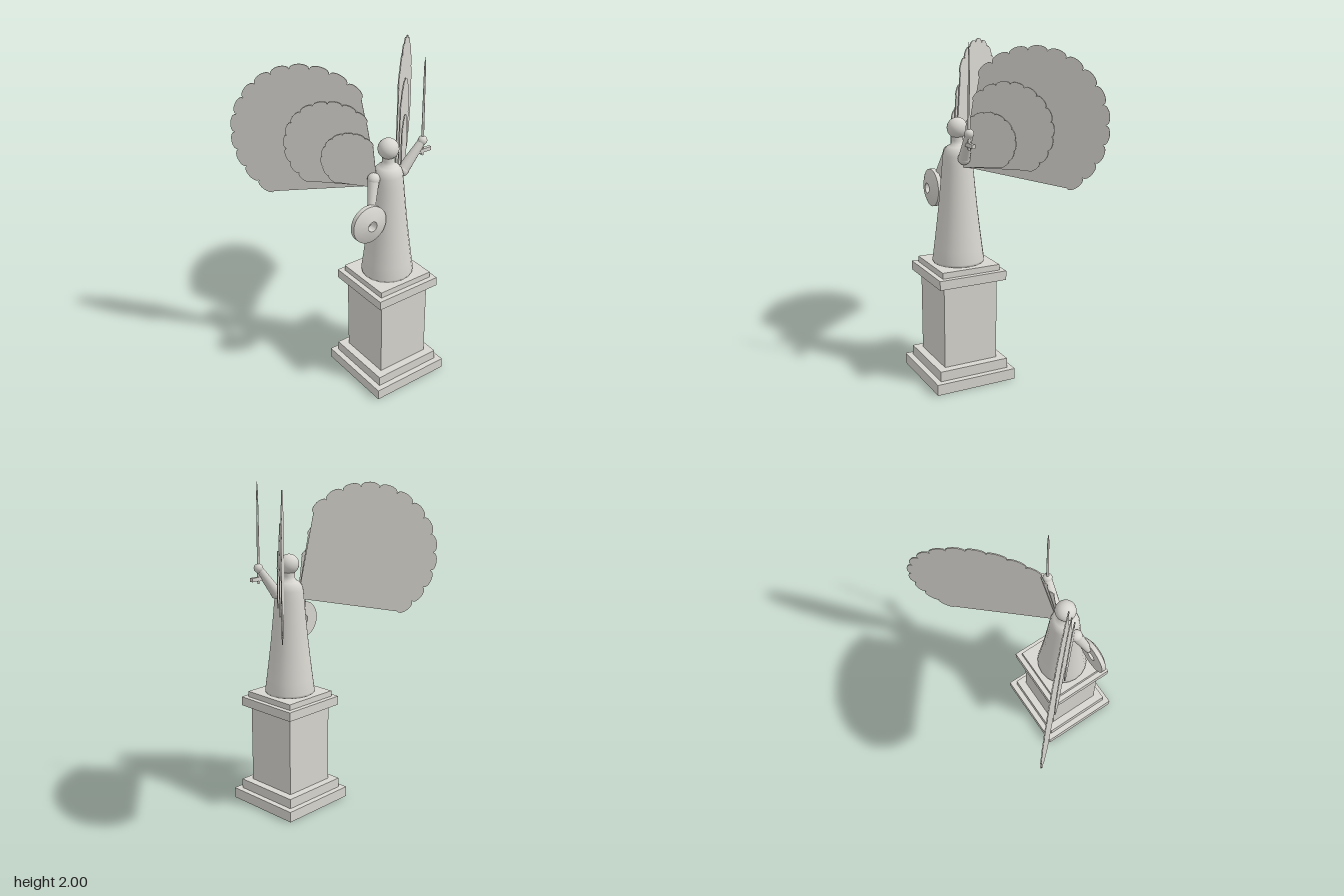
import * as THREE from 'three';
import { toCreasedNormals } from 'three/addons/utils/BufferGeometryUtils.js';

const stone = new THREE.MeshStandardMaterial({ color: 0xd8d6d0 });
stone.name = 'pale stone';
const CZ = 0.17; // depth of the statue's vertical axis

function add(parent, name, geometry, x = 0, y = 0, z = 0) {
  const mesh = new THREE.Mesh(geometry, stone);
  mesh.name = name;
  mesh.position.set(x, y, z);
  parent.add(mesh);
  return mesh;
}

const lathe = (points, segments) =>
  new THREE.LatheGeometry(points.map(([r, y]) => new THREE.Vector2(r, y)), segments);

// Tapered limb between two points
function limb(parent, name, a, b, ra, rb) {
  const from = new THREE.Vector3(...a), to = new THREE.Vector3(...b);
  const dir = to.clone().sub(from);
  const mesh = add(parent, name, new THREE.CylinderGeometry(rb, ra, dir.length(), 16));
  mesh.position.copy(from).addScaledVector(dir, 0.5);
  mesh.quaternion.setFromUnitVectors(new THREE.Vector3(0, 1, 0), dir.normalize());
}

// Scalloped fan: a straight-sided root opening into an arc of rounded feather tips
function featherFan(side, cu, cv, r, count) {
  const start = THREE.MathUtils.degToRad(-61), end = THREE.MathUtils.degToRad(142);
  const at = (angle, radius) => [side * (cu + radius * Math.cos(angle)), cv + radius * Math.sin(angle)];
  const shape = new THREE.Shape();
  shape.moveTo(0, 0);
  shape.lineTo(...at(start, r * 0.96));
  for (let i = 0; i < count; i++) {
    const a = start + (end - start) * i / count;
    const b = start + (end - start) * (i + 1) / count;
    shape.bezierCurveTo(...at(a, r * 1.06), ...at(b, r * 1.06), ...at(b, r * 0.96));
  }
  shape.lineTo(0, 0);
  return new THREE.ExtrudeGeometry(shape, { depth: 0.006, bevelEnabled: false, curveSegments: 8 });
}

function wing(side, name) {
  const group = new THREE.Group();
  group.name = name;
  group.position.set(side * 0.057, 1.285, 0.155);
  group.rotation.y = side * Math.PI / 4;
  add(group, 'longFeathers', featherFan(side, 0.405, 0.265, 0.413, 13));
  add(group, 'middleFeathers', featherFan(side, 0.26, 0.225, 0.262, 11), 0, 0, 0.015);
  add(group, 'shortFeathers', featherFan(side, 0.15, 0.155, 0.165, 9), 0, 0, 0.03);
  return group;
}

export function createModel() {
  const model = new THREE.Group();
  model.name = 'wingedStatue';

  // Stepped pedestal: name, width, bottom, top
  const pedestal = new THREE.Group();
  pedestal.name = 'pedestal';
  model.add(pedestal);
  for (const [name, w, y0, y1] of [
    ['plinth', 0.5, 0, 0.065],
    ['plinthStep', 0.43, 0.065, 0.125],
    ['shaft', 0.335, 0.125, 0.62],
    ['cap', 0.42, 0.62, 0.675],
    ['capStep', 0.36, 0.675, 0.71],
  ]) add(pedestal, name, new THREE.BoxGeometry(w, y1 - y0, w), 0, (y0 + y1) / 2, CZ);

  // Robed body with neck, and head
  add(model, 'robe', lathe([
    [0, 0.71], [0.15, 0.71], [0.153, 0.725], [0.143, 0.8], [0.129, 0.91], [0.115, 1.03],
    [0.1, 1.18], [0.09, 1.29], [0.085, 1.345], [0.077, 1.375], [0.06, 1.395],
    [0.038, 1.408], [0.034, 1.43], [0.034, 1.46],
  ], 20), 0, 0, CZ);
  add(model, 'head', new THREE.SphereGeometry(0.06, 24, 16), 0, 1.5, CZ);

  // Lowered right arm
  const rightShoulder = [-0.105, 1.345, 0.175], rightHand = [-0.16, 1.19, 0.225];
  add(model, 'rightShoulder', new THREE.SphereGeometry(0.036, 16, 12), ...rightShoulder);
  limb(model, 'rightArm', rightShoulder, rightHand, 0.033, 0.022);
  add(model, 'rightHand', new THREE.SphereGeometry(0.023, 16, 12), ...rightHand);

  // Round shield with a centre opening
  const ring = lathe([[0.03, 0], [0.112, 0], [0.112, 0.027], [0.08, 0.042], [0.03, 0.052], [0.03, 0]], 32);
  ring.rotateX(Math.PI / 2);
  add(model, 'shield', toCreasedNormals(ring, 0.6), -0.19, 1.12, 0.23);

  // Raised left arm
  const leftShoulder = [0.1, 1.34, 0.175], leftHand = [0.218, 1.5, 0.2];
  add(model, 'leftShoulder', new THREE.SphereGeometry(0.036, 16, 12), ...leftShoulder);
  limb(model, 'leftArm', leftShoulder, leftHand, 0.034, 0.022);
  add(model, 'leftHand', new THREE.SphereGeometry(0.027, 16, 12), ...leftHand);

  // Upright sword
  const sword = new THREE.Group();
  sword.name = 'sword';
  sword.position.set(0.218, 0, 0.2);
  model.add(sword);
  add(sword, 'grip', new THREE.CylinderGeometry(0.008, 0.008, 0.1, 10), 0, 1.46, 0);
  add(sword, 'guard', new THREE.BoxGeometry(0.115, 0.022, 0.02), 0, 1.438, 0);
  add(sword, 'blade', new THREE.CylinderGeometry(0.005, 0.008, 0.43, 8), 0, 1.715, 0);
  add(sword, 'bladeTip', new THREE.ConeGeometry(0.005, 0.07, 8), 0, 1.965, 0);

  // Spread wings
  model.add(wing(1, 'leftWing'), wing(-1, 'rightWing'));
  return model;
}
